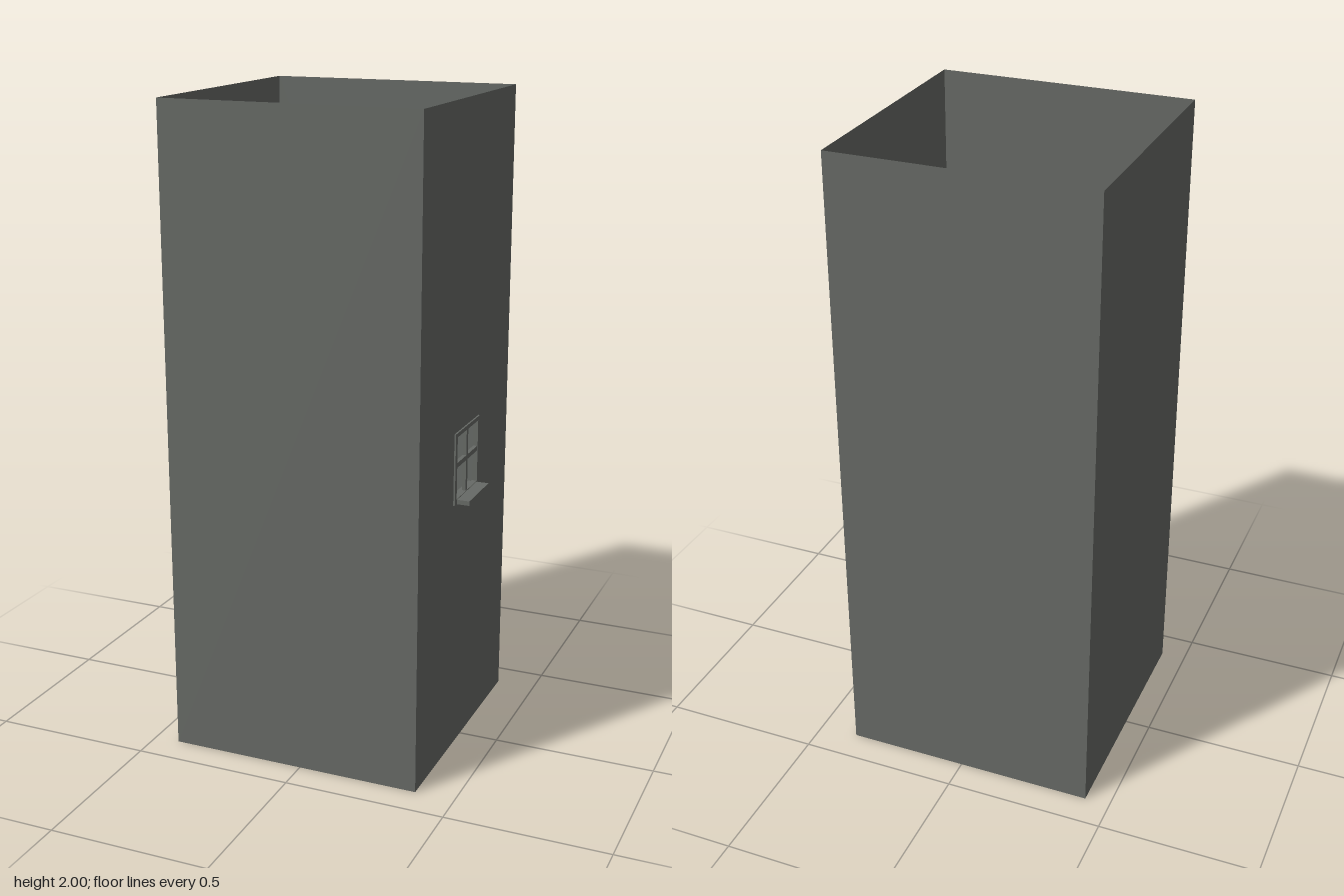
import * as THREE from 'three';

const WALL_X = 0.377, LEFT_X = -0.421, HALF_Z = 0.4, HEIGHT = 2;

// rectangle traced in (u, y), where u runs along -z
function trace(path, u0, u1, y0, y1) {
  path.moveTo(u0, y0);
  path.lineTo(u1, y0);
  path.lineTo(u1, y1);
  path.lineTo(u0, y1);
  path.closePath();
  return path;
}

function rectWithHole(outer, inner) {
  const shape = trace(new THREE.Shape(), ...outer);
  shape.holes.push(trace(new THREE.Path(), ...inner));
  return shape;
}

export function createModel() {
  const model = new THREE.Group();
  const stone = new THREE.MeshStandardMaterial({ color: 0x676a66, side: THREE.DoubleSide });
  stone.name = 'dark grey stone';

  const add = (parent, name, geometry, x = 0, y = 0, z = 0) => {
    const mesh = new THREE.Mesh(geometry, stone);
    mesh.name = name;
    mesh.position.set(x, y, z);
    parent.add(mesh);
    return mesh;
  };

  // tower shell: four thin walls, open at top and bottom
  const walls = new THREE.Group();
  walls.name = 'walls';
  model.add(walls);
  const width = WALL_X - LEFT_X, midX = (WALL_X + LEFT_X) / 2;
  add(walls, 'frontWall', new THREE.PlaneGeometry(width, HEIGHT), midX, HEIGHT / 2, HALF_Z);
  add(walls, 'backWall', new THREE.PlaneGeometry(width, HEIGHT).rotateY(Math.PI), midX, HEIGHT / 2, -HALF_Z);
  add(walls, 'plainSideWall', new THREE.PlaneGeometry(2 * HALF_Z, HEIGHT).rotateY(-Math.PI / 2), LEFT_X, HEIGHT / 2, 0);

  // side wall with the window opening
  const opening = [-0.1, 0.105, 0.812, 1.022];
  const windowWall = new THREE.ShapeGeometry(rectWithHole([-HALF_Z, HALF_Z, 0, HEIGHT], opening));
  add(walls, 'windowWall', windowWall.rotateY(Math.PI / 2), WALL_X);

  // window: frame, crossing bars and a projecting sill
  const window = new THREE.Group();
  window.name = 'window';
  model.add(window);
  const frame = new THREE.ExtrudeGeometry(
    rectWithHole([-0.107, 0.113, 0.805, 1.028], [-0.091, 0.097, 0.82, 1.015]),
    { depth: 0.016, bevelEnabled: false });
  add(window, 'windowFrame', frame.rotateY(Math.PI / 2), 0.366);
  add(window, 'uprightBar', new THREE.BoxGeometry(0.012, 0.195, 0.014), 0.374, 0.9175, -0.003);
  add(window, 'crossBar', new THREE.BoxGeometry(0.012, 0.015, 0.188), 0.374, 0.925, -0.003);
  add(window, 'windowSill', new THREE.BoxGeometry(0.066, 0.014, 0.181), 0.388, 0.811, -0.003);

  return model;
}
